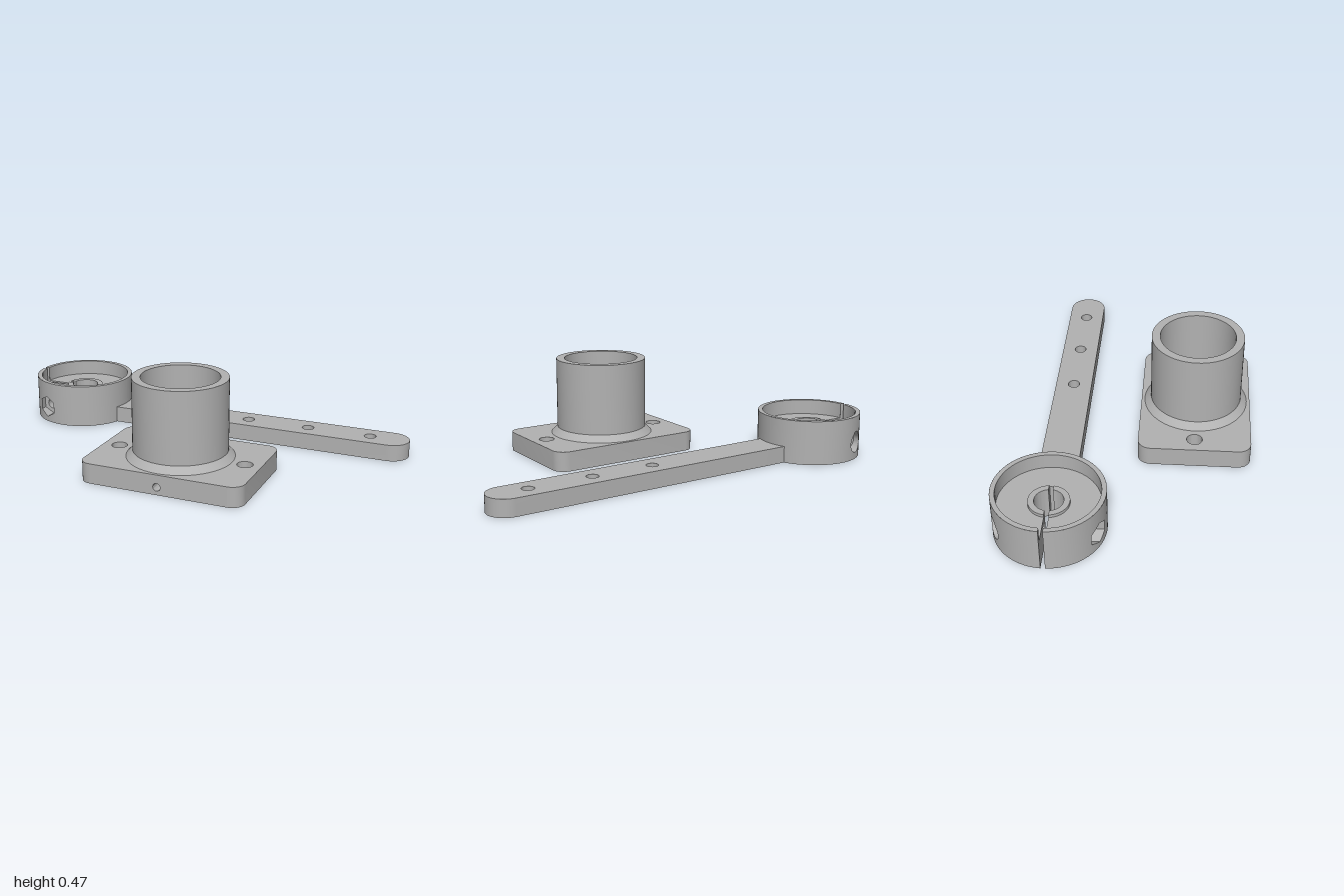
import * as THREE from 'three';
import { toCreasedNormals } from 'three/addons/utils/BufferGeometryUtils.js';

const greyPlastic = new THREE.MeshStandardMaterial({ color: 0xb2b2b2, side: THREE.DoubleSide });
greyPlastic.name = 'greyPlastic';

const add = (group, name, geo) => {
  const m = new THREE.Mesh(geo, greyPlastic);
  m.name = name;
  group.add(m);
  return m;
};

// Ruled surface between two equally long lists of [x, y, z] points
function strip(a, b, closed = false) {
  const pos = [], idx = [], n = a.length;
  for (let i = 0; i < n; i++) pos.push(...a[i], ...b[i]);
  for (let i = 0; i < (closed ? n : n - 1); i++) {
    const p = 2 * i, q = 2 * ((i + 1) % n);
    idx.push(p, q, p + 1, q, q + 1, p + 1);
  }
  const g = new THREE.BufferGeometry();
  g.setAttribute('position', new THREE.Float32BufferAttribute(pos, 3));
  g.setIndex(idx);
  return toCreasedNormals(g, 0.5);
}

// Upright wall over a plan path of [x, z] points
const wall = (path, y0, y1, closed) =>
  strip(path.map(([x, z]) => [x, y0, z]), path.map(([x, z]) => [x, y1, z]), closed);

const toShape = (outer, holes = []) => {
  const v = (l) => l.map(([x, y]) => new THREE.Vector2(x, y));
  const s = new THREE.Shape(v(outer));
  holes.forEach((h) => s.holes.push(new THREE.Path(v(h))));
  return s;
};

// Flat horizontal face at height y, outline in [x, z]; up chooses its facing
function cap(outer, holes, y, up = true) {
  const mirror = (l) => l.map(([x, z]) => [x, -z]);
  const g = up
    ? new THREE.ShapeGeometry(toShape(mirror(outer), holes.map(mirror))).rotateX(-Math.PI / 2)
    : new THREE.ShapeGeometry(toShape(outer, holes)).rotateX(Math.PI / 2);
  return g.translate(0, y, 0);
}

function arc(cx, cz, r, a0, a1, n = 48) {
  return Array.from({ length: n + 1 }, (_, i) => {
    const a = a0 + ((a1 - a0) * i) / n;
    return [cx + r * Math.cos(a), cz + r * Math.sin(a)];
  });
}
const circle = (cx, cz, r) => arc(cx, cz, r, 0, Math.PI * 2, 32).slice(0, -1);

function buildSocket() {
  const g = new THREE.Group();
  g.name = 'socketBase';
  const W = 0.39, D = 0.265, H = 0.095, R = 0.06, P = Math.PI;

  // Plate outline, left open along the straight front edge
  const outline = [
    ...arc(W - R, D - R, R, P / 2, 0, 8), ...arc(W - R, R - D, R, 0, -P / 2, 8),
    ...arc(R - W, R - D, R, -P / 2, -P, 8), ...arc(R - W, D - R, R, P, P / 2, 8),
  ];
  const through = [-1, 1].map((s) => circle(0.312 * s, 0, 0.037));
  const blind = [-1, 1].map((s) => circle(0.28 * s, -0.22 * s, 0.032));
  const square = [-1, 1].map((s) =>
    [[-0.05, -0.04], [0.05, -0.04], [0.05, 0.04], [-0.05, 0.04]].map(([x, z]) => [x + 0.165 * s, z]));
  add(g, 'plateSides', wall(outline, 0, H));
  add(g, 'plateTop', cap(outline, [...through, circle(0, 0, 0.245)], H));
  add(g, 'plateBottom', cap(outline, [...through, ...blind, ...square], 0, false));
  through.forEach((h) => add(g, 'screwHole', wall(h, 0, H, true)));
  [...blind, ...square].forEach((h) => {
    add(g, 'pocketSides', wall(h, 0, 0.045, true));
    add(g, 'pocketRoof', cap(h, [], 0.045, false));
  });

  // Front edge with the drain bore
  const drain = circle(0, 0.037, 0.018);
  const f = W - R;
  add(g, 'plateFront', new THREE.ShapeGeometry(
    toShape([[-f, 0], [f, 0], [f, H], [-f, H]], [drain]))).position.z = D;
  add(g, 'drainBore', strip(drain.map(([x, y]) => [x, y, D]), drain.map(([x, y]) => [x, y, 0.1]), true));

  // Hollow post with flared foot and funnel floor
  const profile = [[0.25, H], [0.22, 0.127], [0.22, 0.468], [0.18, 0.468], [0.18, 0.07],
    [0.118, 0.07], [0.075, 0.027], [0, 0.027]].map(([x, y]) => new THREE.Vector2(x, y));
  add(g, 'post', toCreasedNormals(new THREE.LatheGeometry(profile, 64), 0.5));
  g.position.set(0.08, 0, 0.3);
  return g;
}

function buildClamp() {
  const g = new THREE.Group();
  g.name = 'clampArm';
  const R = 0.25, RI = 0.228, HOLE = 0.065, HUB = 0.092, GAP = 0.01;
  const TOP = 0.213, FLOOR = 0.14, HUBTOP = 0.155, BX = -0.105, BY = 0.08, P = Math.PI;

  // Nearly full circle, open at the slit on -x
  const slitArc = (r) => {
    const d = Math.asin(GAP / r);
    return arc(0, 0, r, P - d, d - P, 64);
  };
  const d = Math.asin(GAP / HOLE);
  const bore = [...arc(0, 0, HOLE, P - d, d, 24), [0.1, GAP], [0.1, -GAP], ...arc(0, 0, HOLE, -d, d - P, 24)];
  const ring = (a, b) => [...a, ...[...b].reverse()];
  add(g, 'cupBottom', cap(ring(slitArc(R), bore), [], 0, false));
  add(g, 'cupFloor', cap(ring(slitArc(RI), bore), [], FLOOR));
  add(g, 'cupRim', cap(ring(slitArc(R), slitArc(RI)), [], TOP));
  add(g, 'cupInside', wall(slitArc(RI), FLOOR, TOP));
  add(g, 'shaftHole', wall(bore, 0, FLOOR));

  // Cross-bore outlines as upper and lower edges over dx
  const disc = (r) => (x) => Math.sqrt(Math.max(0, r * r - x * x));
  const drop = (r, lim) => (x) =>
    Math.min(lim, Math.abs(x) < r * 0.707 ? r * 1.414 - Math.abs(x) : disc(r)(x));
  const hex = (x) => 0.055 - Math.abs(x) * 0.577;
  const edge = (w, fn) => Array.from({ length: 25 }, (_, i) => {
    const dx = w * Math.cos((P * (24 - i)) / 24);
    return [BX + dx, BY + fn(dx)];
  });
  const screw = [...edge(0.029, drop(0.029, 1)), ...edge(0.029, (x) => -disc(0.029)(x)).reverse()];

  for (const s of [1, -1]) {
    const w = 0.048;
    const hi = edge(w, s > 0 ? hex : drop(w, 0.056));
    const lo = edge(w, s > 0 ? (x) => -hex(x) : (x) => -disc(w)(x));
    const at = ([x, y]) => [x, y, s * Math.sqrt(R * R - x * x)];
    const flat = (z) => ([x, y]) => [x, y, z];

    // Outer wall around the recess
    const a0 = P - Math.asin(GAP / R), a1 = Math.acos((BX - w) / R), a2 = Math.acos((BX + w) / R);
    add(g, 'cupOutside', wall(arc(0, 0, R, s * a0, s * a1, 12), 0, TOP));
    add(g, 'cupOutside', wall(arc(0, 0, R, s * a2, 0, 32), 0, TOP));
    add(g, 'cupOutside', strip(lo.map(([x]) => at([x, 0])), lo.map(at)));
    add(g, 'cupOutside', strip(hi.map(at), hi.map(([x]) => at([x, TOP]))));

    // Nut or screw-head recess, then the screw bore to the slit
    const loop = [...hi, ...[...lo].reverse()];
    add(g, 'recessSides', strip(loop.map(at), loop.map(flat(s * 0.165)), true));
    add(g, 'recessFloor', new THREE.ShapeGeometry(toShape(loop, [screw]))).position.z = s * 0.165;
    add(g, 'screwBore', strip(screw.map(flat(s * 0.165)), screw.map(flat(s * GAP)), true));
    add(g, 'slitSide', new THREE.ShapeGeometry(toShape(
      [[-R, 0], [-HOLE, 0], [-HOLE, FLOOR], [-RI, FLOOR], [-RI, TOP], [-R, TOP]], [screw]))).position.z = s * GAP;

    // Half of the raised hub
    const e = Math.asin(GAP / HUB);
    const half = ring(arc(0, 0, HUB, s * e, s * (P - e), 24), arc(0, 0, HOLE, s * d, s * (P - d), 24));
    add(g, 'hubSides', wall(half, FLOOR, HUBTOP, true));
    add(g, 'hubTop', cap(half, [], HUBTOP));
  }

  // Flat arm with rounded tip and three holes
  const b = Math.asin(0.09 / R);
  const arm = [...arc(0, 0, R - 0.001, b, -b, 10), ...arc(1.66, 0, 0.09, -P / 2, P / 2, 24)];
  const holes = [0.937, 1.248, 1.56].map((x) => circle(x, 0, 0.029));
  add(g, 'armSides', wall(arm, 0, 0.08, true));
  add(g, 'armTop', cap(arm, holes, 0.08));
  add(g, 'armBottom', cap(arm, holes, 0, false));
  holes.forEach((h) => add(g, 'armHole', wall(h, 0, 0.08, true)));
  g.position.set(-0.75, 0, -0.316);
  return g;
}

export function createModel() {
  const model = new THREE.Group();
  model.name = 'socketAndClampArm';
  model.add(buildSocket(), buildClamp());
  return model;
}
